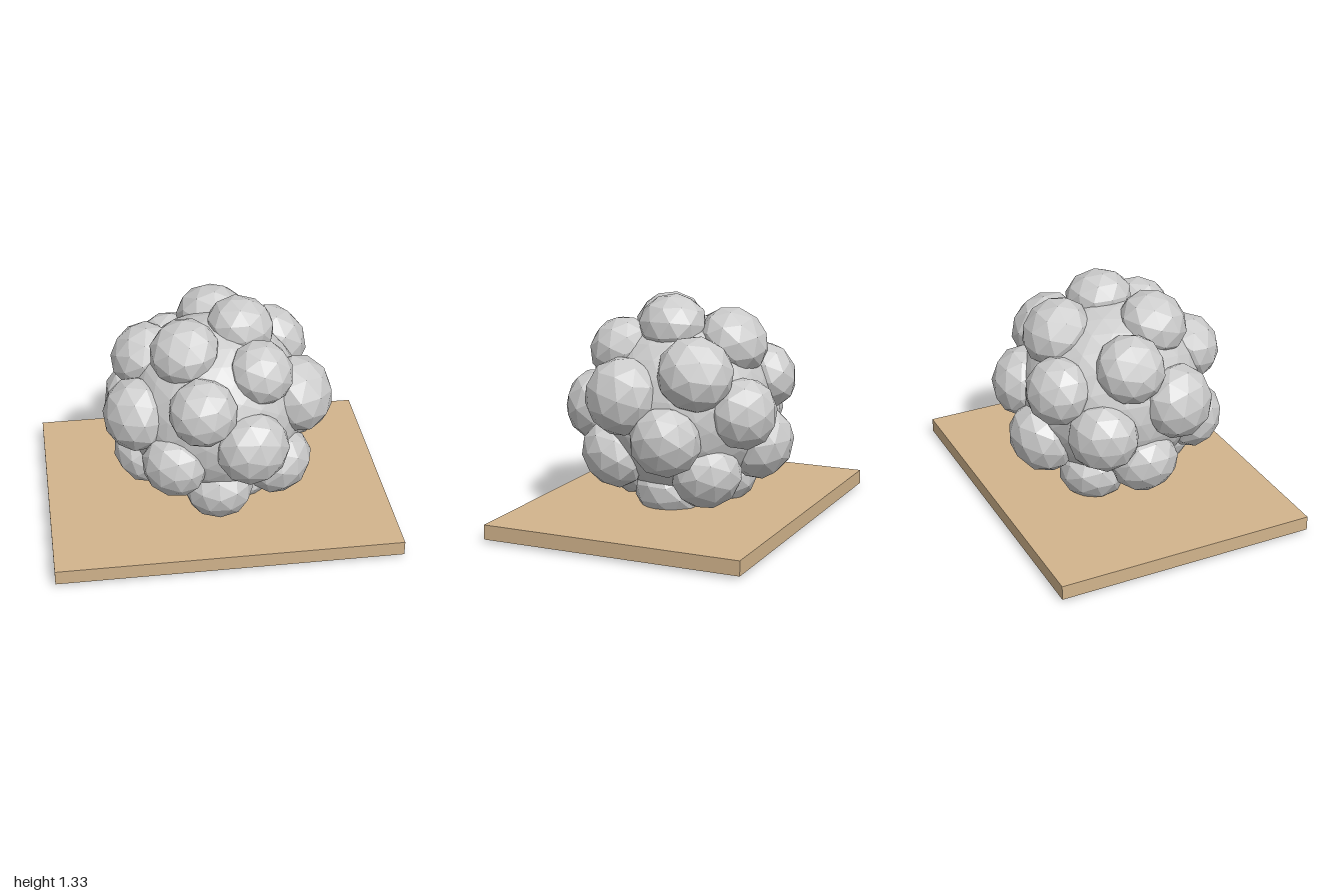
import * as THREE from 'three';

export function createModel() {
  const model = new THREE.Group();
  const grey = new THREE.MeshStandardMaterial({ color: 0xcccccc, flatShading: true });
  const tan = new THREE.MeshStandardMaterial({ color: 0xd2b48c });

  // Flat rectangular base
  const base = new THREE.Mesh(new THREE.BoxGeometry(2, 0.085, 1.54), tan);
  base.name = 'basePlate';
  base.position.y = 0.0625;
  model.add(base);

  // Round core under the lobes
  const center = new THREE.Vector3(0, 0.671, 0);
  const core = new THREE.Mesh(new THREE.IcosahedronGeometry(0.53, 4), grey);
  core.name = 'core';
  core.position.copy(center);
  model.add(core);

  // Low-poly lobes on a golden-angle spiral, slightly flattened outward
  const radii = [
    0.198, 0.203, 0.21, 0.19, 0.2, 0.221, 0.196, 0.198, 0.227, 0.217, 0.208,
    0.216, 0.205, 0.207, 0.193, 0.215, 0.207, 0.2, 0.206, 0.2, 0.2, 0.207,
  ];
  const lobes = new THREE.Group();
  lobes.name = 'lobes';
  const lobeGeometry = new THREE.IcosahedronGeometry(1, 1);
  const up = new THREE.Vector3(0, 1, 0);
  const goldenAngle = Math.PI * (3 - Math.sqrt(5));
  radii.forEach((r, i) => {
    const y = 1 - (2 * i + 1) / radii.length;
    const ring = Math.sqrt(1 - y * y);
    const a = i * goldenAngle;
    const normal = new THREE.Vector3(Math.cos(a) * ring, y, Math.sin(a) * ring);
    const lobe = new THREE.Mesh(lobeGeometry, grey);
    lobe.name = `lobe${i + 1}`;
    lobe.position.copy(center).addScaledVector(normal, 0.515);
    lobe.quaternion.setFromUnitVectors(up, normal);
    lobe.scale.set(r, r * 0.86, r);
    lobes.add(lobe);
  });
  model.add(lobes);

  return model;
}
